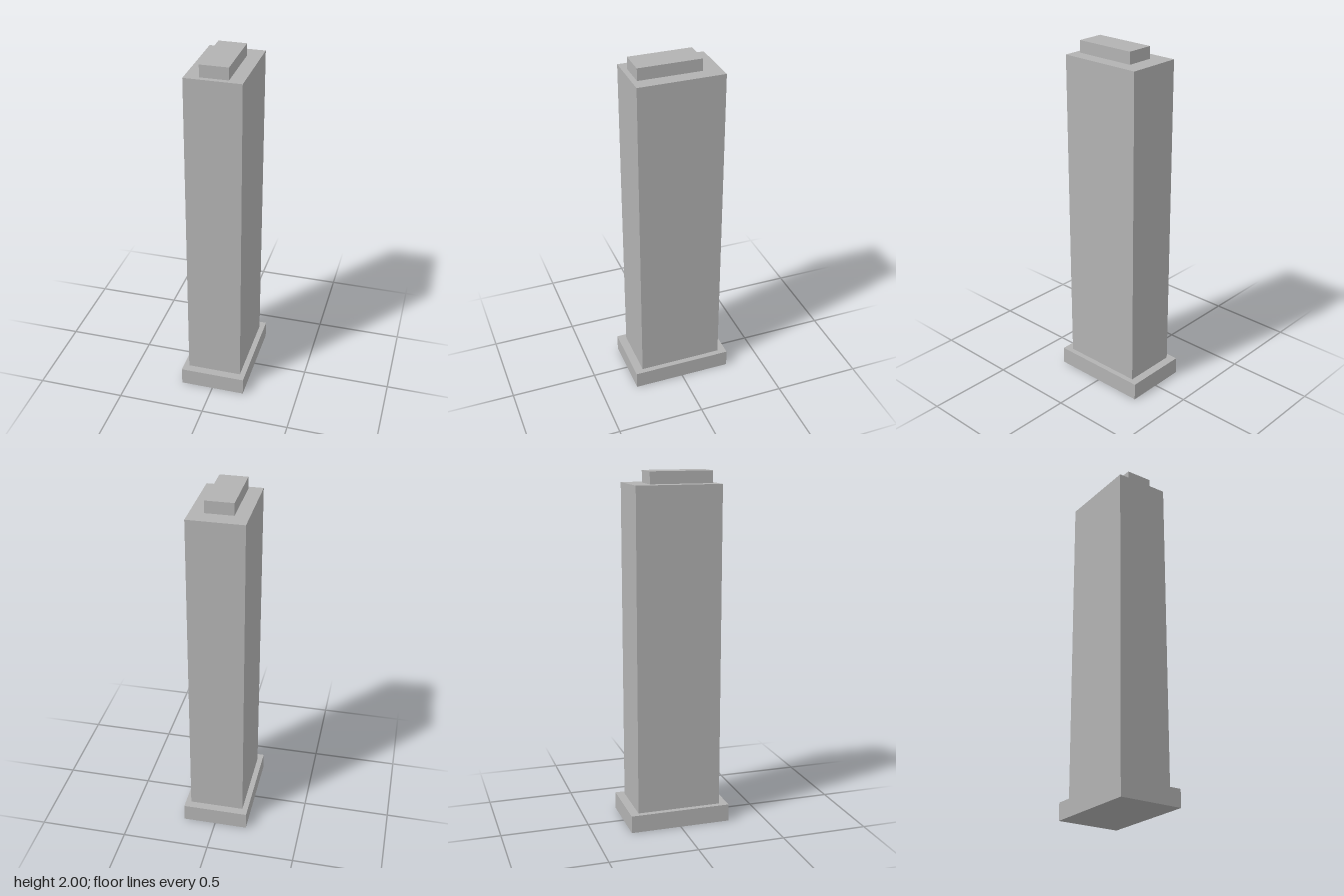
import * as THREE from 'three';

export function createModel() {
  const model = new THREE.Group();
  model.name = 'tower';

  const concrete = new THREE.MeshStandardMaterial({ color: 0xb2b2b2 });
  concrete.name = 'concrete grey';

  // Adds a block by its width, depth, bottom, top and z centre
  function addBlock(name, width, depth, bottom, top, z = 0) {
    const mesh = new THREE.Mesh(new THREE.BoxGeometry(width, top - bottom, depth), concrete);
    mesh.name = name;
    mesh.position.set(0, (bottom + top) / 2, z);
    model.add(mesh);
  }

  addBlock('basePlinth', 0.374, 0.58, 0, 0.1);
  addBlock('towerShaft', 0.312, 0.484, 0.1, 1.932);
  // Roof block sits towards the front
  addBlock('roofBlock', 0.156, 0.356, 1.932, 2, 0.035);

  return model;
}
